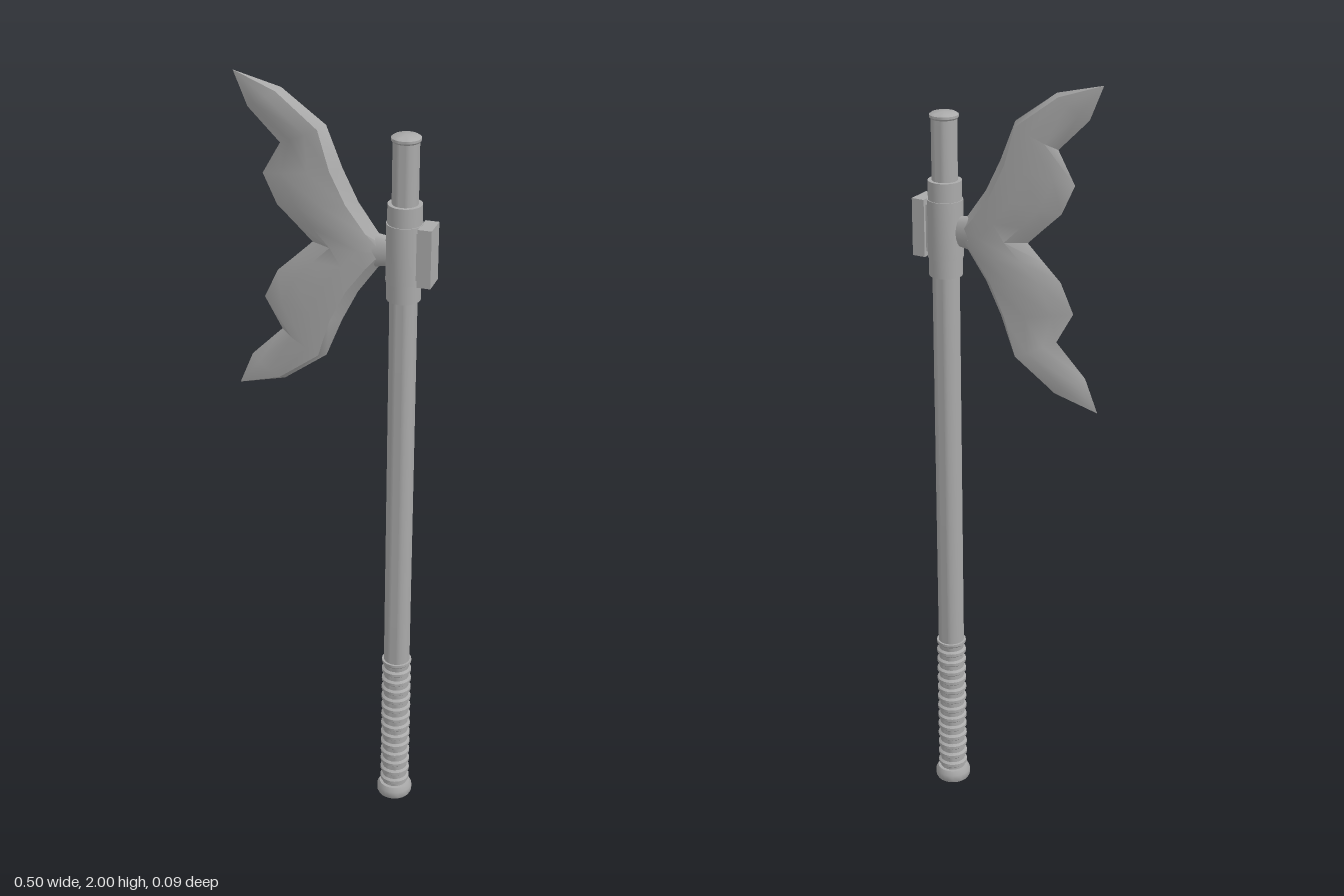
import * as THREE from 'three';
import { toCreasedNormals } from 'three/addons/utils/BufferGeometryUtils.js';

const SHAFT_X = 0.175;
const BLADE_Y = 1.595;

// Piecewise half thickness of the blade, [x, z]
const THICKNESS = [[-0.25, 0.01], [-0.2, 0.017], [-0.1, 0.019], [-0.02, 0.032], [0.1, 0.027], [0.15, 0.014]];
function halfThickness(x) {
  for (let i = 1; i < THICKNESS.length; i++) {
    const [x0, z0] = THICKNESS[i - 1], [x1, z1] = THICKNESS[i];
    if (x <= x1) return THREE.MathUtils.mapLinear(Math.max(x, x0), x0, x1, z0, z1);
  }
  return 0.014;
}

// Blade lofted from the lower tip to the upper tip
function bladeGeometry() {
  // upper half: cutting edge x, y and back edge x, y (y from the middle)
  const upper = [
    [-0.055, 0, 0.15, 0],
    [-0.1, 0.043, 0.11, 0.045],
    [-0.145, 0.085, 0.06, 0.115],
    [-0.18, 0.16, 0.02, 0.195],
    [-0.135, 0.24, -0.02, 0.295],
    [-0.215, 0.32, -0.13, 0.375],
    [-0.25, 0.405, -0.25, 0.405],
  ];
  const lower = upper.slice(1).reverse().map(([a, b, c, d]) => [a, -b, c, -d]);
  const stations = [...lower, ...upper];
  // section: position across the blade, share of the thickness
  const front = [[0, 0], [0.25, 0.85], [0.6, 1], [0.88, 0.85], [1, 0]];
  const section = [...front, ...front.slice(1, -1).reverse().map(([u, w]) => [u, -w])];
  const n = section.length, pos = [], index = [];
  stations.forEach(([ix, iy, ox, oy], i) => {
    const tip = i === 0 || i === stations.length - 1;
    for (const [u, w] of section) {
      const x = ix + (ox - ix) * u;
      pos.push(x, BLADE_Y + iy + (oy - iy) * u, tip ? 0 : w * halfThickness(x));
    }
  });
  for (let i = 0; i < stations.length - 1; i++) {
    for (let j = 0; j < n; j++) {
      const a = i * n + j, b = i * n + (j + 1) % n, c = b + n, d = a + n;
      if (i > 0) index.push(a, b, d);
      if (i < stations.length - 2) index.push(b, c, d);
      else index.pop(), index.pop(), index.pop(), index.push(a, b, c);
    }
  }
  const g = new THREE.BufferGeometry();
  g.setAttribute('position', new THREE.Float32BufferAttribute(pos, 3));
  g.setIndex(index);
  return toCreasedNormals(g, 0.65);
}

export function createModel() {
  const group = new THREE.Group();
  const steel = new THREE.MeshStandardMaterial({ color: 0xaaaaaa });
  steel.name = 'grey steel';

  function add(name, geometry, x = 0, y = 0) {
    const mesh = new THREE.Mesh(geometry, steel);
    mesh.name = name;
    mesh.position.set(x, y, 0);
    group.add(mesh);
    return mesh;
  }
  const lathe = (points) =>
    toCreasedNormals(new THREE.LatheGeometry(points.map(([r, y]) => new THREE.Vector2(r, y)), 24), 0.6);

  // Pommel
  add('pommel', lathe([[0, 0], [0.044, 0], [0.047, 0.006], [0.047, 0.022], [0.041, 0.034], [0, 0.036]]), SHAFT_X);

  // Ribbed grip
  const grip = [[0, 0.03], [0.033, 0.03]];
  for (let i = 0; i < 13; i++) {
    const y = 0.05 + i * 0.0295;
    grip.push([0.033, y - 0.009], [0.039, y - 0.004], [0.039, y + 0.004], [0.033, y + 0.009]);
  }
  grip.push([0.034, 0.425], [0.039, 0.43], [0.039, 0.437], [0, 0.44]);
  add('grip', lathe(grip), SHAFT_X);

  // Shaft, slimmer above the collar, with a low domed cap
  add('shaft', lathe([[0, 0.43], [0.034, 0.43], [0.034, 1.6], [0.032, 1.6], [0.032, 1.875], [0, 1.875]]), SHAFT_X);
  add('cap', lathe([[0, 1.872], [0.033, 1.872], [0.036, 1.876], [0.036, 1.882], [0.03, 1.886], [0, 1.889]]), SHAFT_X);

  // Collar that carries the head
  add('collar', lathe([[0, 1.478], [0.042, 1.478], [0.042, 1.72], [0, 1.72]]), SHAFT_X);
  add('collarBand', lathe([[0, 1.525], [0.0445, 1.525], [0.0445, 1.672], [0, 1.672]]), SHAFT_X);

  // Hammer plate behind the collar
  add('backPlate', new THREE.BoxGeometry(0.034, 0.146, 0.066), 0.233, 1.598);
  add('backPlateMount', new THREE.BoxGeometry(0.03, 0.12, 0.05), 0.208, 1.598);

  // Neck and blade
  const neck = add('neck', new THREE.CylinderGeometry(0.036, 0.044, 0.05, 16), 0.125, BLADE_Y);
  neck.rotation.z = -Math.PI / 2;
  neck.scale.z = 0.5;
  add('blade', bladeGeometry());

  return group;
}
